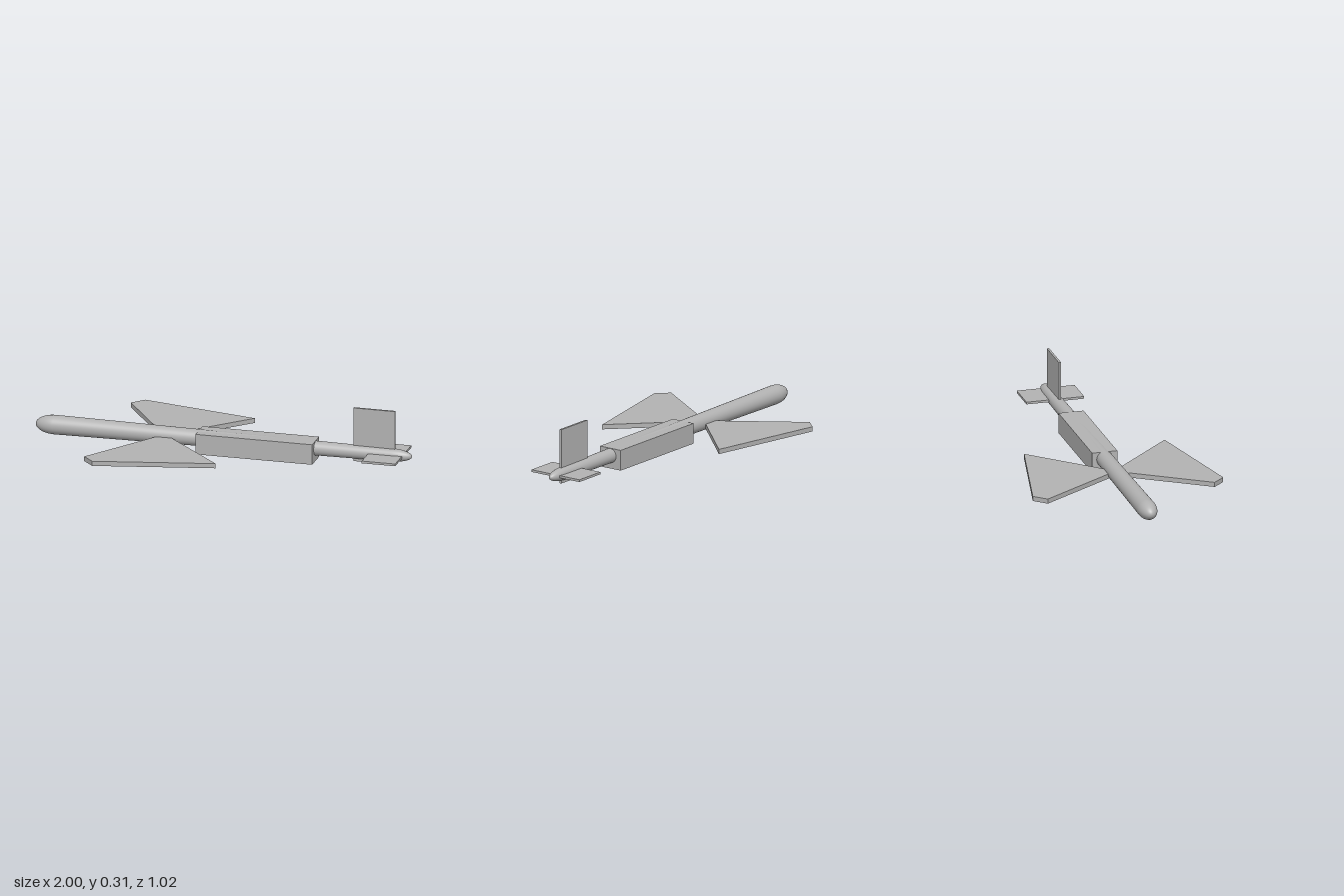
import * as THREE from 'three';

export function createModel() {
  const group = new THREE.Group();
  const grey = new THREE.MeshStandardMaterial({ color: 0xb2b2b2 });
  grey.name = 'lightGrey';

  const add = (name, geometry, x = 0, y = 0, z = 0) => {
    const mesh = new THREE.Mesh(geometry, grey);
    mesh.name = name;
    mesh.position.set(x, y, z);
    group.add(mesh);
  };

  // Tapered round body with elliptical ends, lying along x
  const profile = [];
  const noseX = -0.9, noseR = 0.05, tailX = 0.89, tailR = 0.034, steps = 12;
  for (let i = 0; i <= steps; i++) {
    const a = (i / steps) * Math.PI / 2;
    profile.push(new THREE.Vector2(noseR * Math.sin(a), noseX - 0.1 * Math.cos(a)));
  }
  for (let i = 0; i <= steps; i++) {
    const a = (i / steps) * Math.PI / 2;
    profile.push(new THREE.Vector2(tailR * Math.cos(a), tailX + 0.11 * Math.sin(a)));
  }
  add('fuselage', new THREE.LatheGeometry(profile, 40).rotateZ(-Math.PI / 2), 0, 0.069, 0);

  // Square casing around the middle of the body
  add('casing', new THREE.BoxGeometry(0.62, 0.108, 0.134), 0.177, 0.054, 0);

  // Flat wings that widen outwards and have a clipped corner
  for (const [side, name] of [[1, 'frontWing'], [-1, 'rearWing']]) {
    const outline = [[-0.34, 0.03], [-0.62, 0.445], [-0.56, 0.508], [0.06, 0.375], [-0.28, 0.03]];
    const shape = new THREE.Shape(outline.map(([x, z]) => new THREE.Vector2(x, side * z)));
    const geometry = new THREE.ExtrudeGeometry(shape, { depth: 0.025, bevelEnabled: false });
    add(name, geometry.rotateX(Math.PI / 2), 0, 0.068, 0);
  }

  // Tail surfaces
  add('tailFin', new THREE.BoxGeometry(0.22, 0.287, 0.012), 0.8, 0.1625, 0);
  add('tailplane', new THREE.BoxGeometry(0.178, 0.012, 0.308), 0.864, 0.069, 0);

  return group;
}
